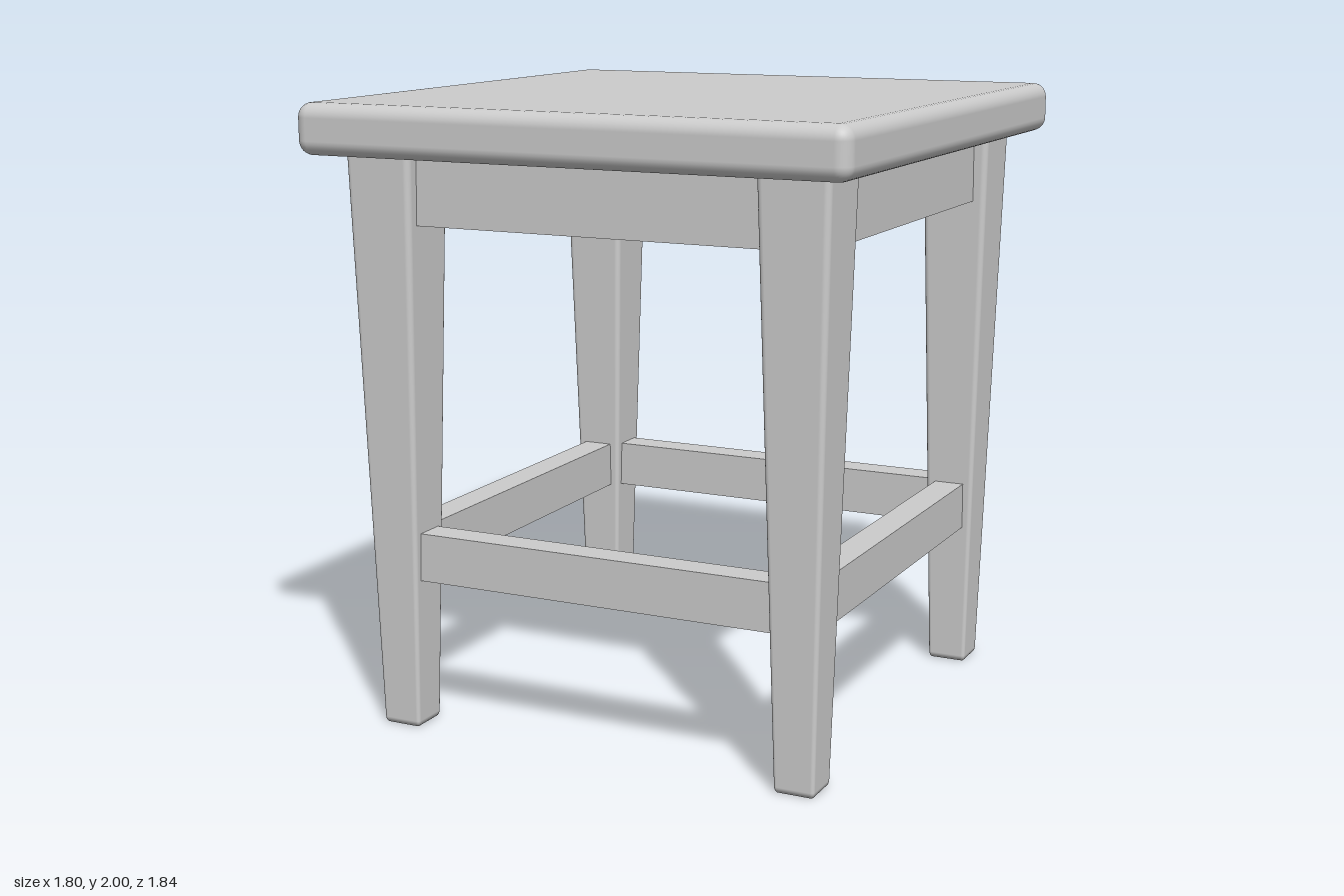
import * as THREE from 'three';
import { RoundedBoxGeometry } from 'three/addons/geometries/RoundedBoxGeometry.js';

const material = new THREE.MeshStandardMaterial({ color: 0xcccccc });
const LEG = 0.685; // distance of the leg axes from the centre, in x and z

function add(group, name, geometry, x, y, z) {
  const mesh = new THREE.Mesh(geometry, material);
  mesh.name = name;
  mesh.position.set(x, y, z);
  group.add(mesh);
  return mesh;
}

// Square leg with softened edges, narrowing evenly towards the floor
function legGeometry(height, topWidth, footWidth) {
  const geometry = new RoundedBoxGeometry(topWidth, height, topWidth, 3, 0.02);
  const p = geometry.attributes.position;
  for (let i = 0; i < p.count; i++) {
    const t = p.getY(i) / height + 0.5;
    const s = THREE.MathUtils.lerp(footWidth / topWidth, 1, t);
    p.setX(i, p.getX(i) * s);
    p.setZ(i, p.getZ(i) * s);
  }
  return geometry;
}

// Four bars joining neighbouring legs
function addFrame(group, name, bottom, top, length, thickness) {
  const geometry = new THREE.BoxGeometry(length, top - bottom, thickness);
  ['front', 'left', 'back', 'right'].forEach((side, i) => {
    const a = (i * Math.PI) / 2;
    const bar = add(group, side + name, geometry,
      LEG * Math.sin(a), (bottom + top) / 2, LEG * Math.cos(a));
    bar.rotation.y = a;
  });
}

export function createModel() {
  const stool = new THREE.Group();
  stool.name = 'stool';

  // Seat slab
  add(stool, 'seat', new RoundedBoxGeometry(1.8, 0.16, 1.84, 4, 0.045), 0, 1.92, 0);

  // Legs
  const leg = legGeometry(1.85, 0.228, 0.13);
  for (const [zName, z] of [['front', LEG], ['back', -LEG]]) {
    for (const [xName, x] of [['Left', LEG], ['Right', -LEG]]) {
      add(stool, zName + xName + 'Leg', leg, x, 0.925, z);
    }
  }

  // Aprons under the seat and stretchers near the floor
  addFrame(stool, 'Apron', 1.625, 1.85, 1.22, 0.135);
  addFrame(stool, 'Stretcher', 0.49, 0.645, 1.27, 0.1);

  return stool;
}
